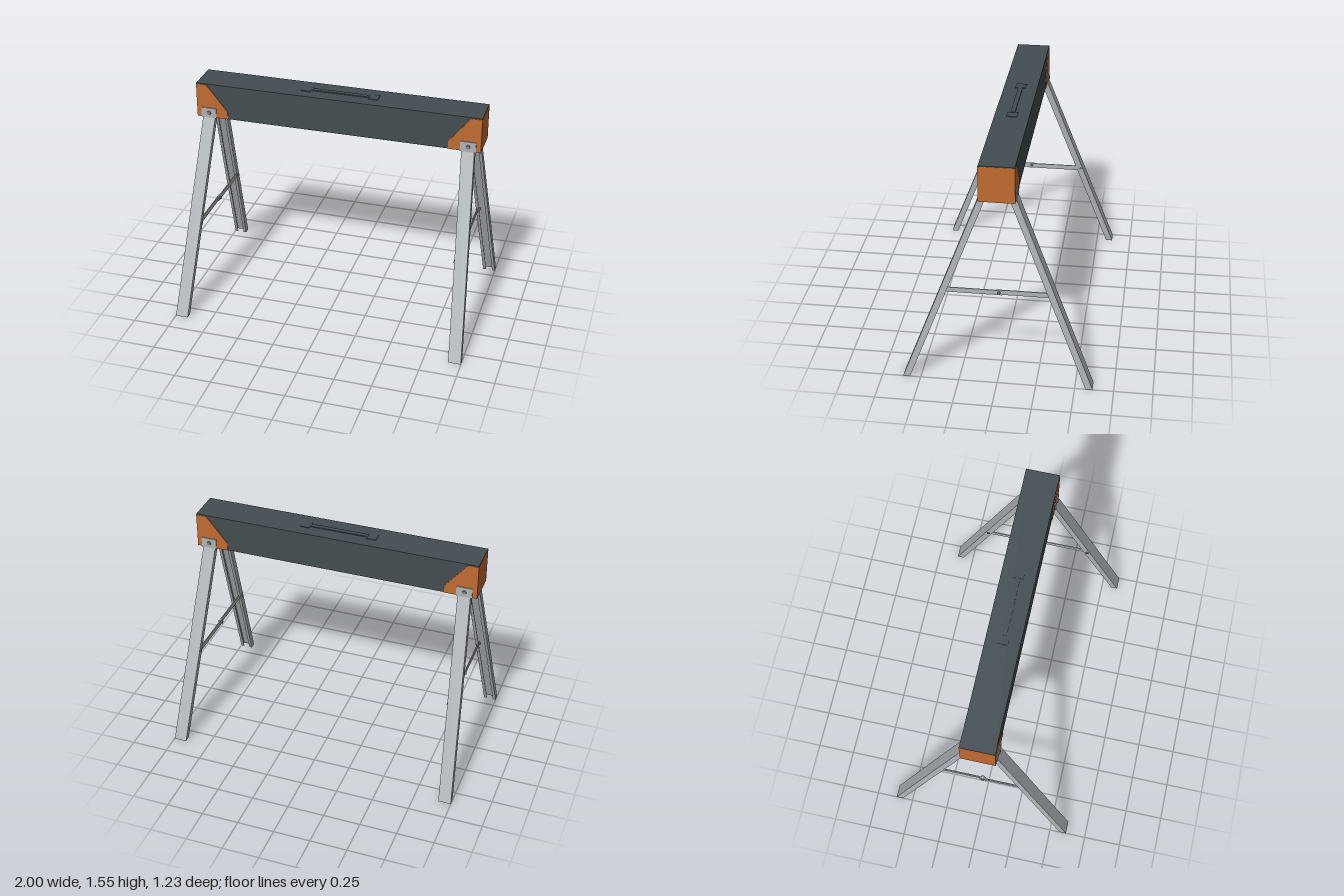
import * as THREE from 'three';

const material = (name, color, side = THREE.FrontSide) => {
  const m = new THREE.MeshStandardMaterial({ color, side });
  m.name = name;
  return m;
};

export function createModel() {
  const steel = material('galvanised steel', 0xb0b5b9);
  const dark = material('dark slate', 0x434d52);
  const orange = material('orange', 0xc26c30);
  const rivetGrey = material('rivet grey', 0x7e8387);
  const root = new THREE.Group();
  root.name = 'sawhorse';

  const add = (parent, name, geometry, mat, x = 0, y = 0, z = 0) => {
    const mesh = new THREE.Mesh(geometry, mat);
    mesh.name = name;
    mesh.position.set(x, y, z);
    parent.add(mesh);
    return mesh;
  };
  const box = (w, h, d) => new THREE.BoxGeometry(w, h, d);
  const polygon = (pts) => new THREE.Shape(pts.map(([a, b]) => new THREE.Vector2(a, b)));
  const extrude = (pts, depth) => new THREE.ExtrudeGeometry(polygon(pts), { depth, bevelEnabled: false });

  // Lipped channel section: closed at the top, open below, t thick
  const channel = (w, y0, y1, t, lip) => {
    const half = [[w, y1], [w, y0], [w - lip, y0], [w - lip, y0 + t], [w - t, y0 + t], [w - t, y1 - t]];
    const left = half.map(([a, b]) => [-a, b]).reverse();
    return [...half, ...left];
  };

  // Beam: a long folded channel, open underneath
  const beam = extrude(channel(0.11, 1.302, 1.54, 0.008, 0.035), 1.92);
  beam.rotateY(Math.PI / 2);
  add(root, 'beam', beam, dark, -0.96);
  add(root, 'beamTop', box(1.93, 0.006, 0.224), dark, 0, 1.539, 0);

  // Carrying handle, lying on top of the beam
  const handle = new THREE.Group();
  handle.name = 'handle';
  root.add(handle);
  add(handle, 'grip', box(0.4, 0.006, 0.03), dark, 0, 1.545, 0);
  for (const s of [-1, 1]) add(handle, 'gripEnd', box(0.065, 0.005, 0.07), dark, s * 0.228, 1.5435, 0);

  // End plates and folding braces
  for (const s of [-1, 1]) {
    add(root, 'endPlate', box(0.007, 0.236, 0.228), orange, s * 0.962, 1.418, 0);
    const brace = new THREE.Group();
    brace.name = 'legBrace';
    brace.position.set(s * 0.892, 0.617, 0);
    root.add(brace);
    add(brace, 'braceHalf', box(0.006, 0.034, 0.39), steel, 0, 0, 0.175);
    add(brace, 'braceHalf', box(0.006, 0.034, 0.39), steel, s * -0.006, 0, -0.175);
    for (const z of [-0.36, 0, 0.36]) {
      const pin = new THREE.CylinderGeometry(0.01, 0.01, 0.03, 12).rotateZ(Math.PI / 2);
      add(brace, 'bracePin', pin, rivetGrey, s * -0.004, 0, z);
    }
  }

  // One long side of the stand, turned half a circle for the other
  const makeSide = () => {
    const side = new THREE.Group();
    for (const s of [-1, 1]) {
      // Cap cheek with a slanted edge
      const pts = [[0.965, 1.302], [0.965, 1.535], [0.895, 1.535], [0.75, 1.355], [0.75, 1.302]];
      const cheek = extrude(pts.map(([x, y]) => [s * x, y]), 0.004);
      add(side, 'capCheek', cheek, orange, 0, 0, 0.11);

      // Splayed leg: channel opening inwards, sheared outwards towards the foot
      const leg = extrude(channel(0.0425, -0.0225, 0.0225, 0.006, 0.02).map(([x, y]) => [x, -y]), 1.305);
      leg.applyMatrix4(new THREE.Matrix4().makeBasis(
        new THREE.Vector3(1, 0, 0),
        new THREE.Vector3(0, 0, -1),
        new THREE.Vector3(-s * 0.0577, 1, -0.381)));
      add(side, 'leg', leg, steel, s * 0.957, 0, 0.5925);

      // Hinge plates either side of the beam wall, with a rivet
      add(side, 'hingePlate', box(0.105, 0.07, 0.006), steel, s * 0.882, 1.335, 0.117);
      add(side, 'hingeBlock', box(0.105, 0.07, 0.035), steel, s * 0.882, 1.333, 0.083);
      const rivet = new THREE.CylinderGeometry(0.013, 0.015, 0.008, 16).rotateX(Math.PI / 2);
      add(side, 'hingeRivet', rivet, rivetGrey, s * 0.882, 1.335, 0.122);
    }
    return side;
  };
  const front = makeSide();
  front.name = 'frontSide';
  const back = makeSide();
  back.name = 'backSide';
  back.rotation.y = Math.PI;
  root.add(front, back);
  return root;
}
